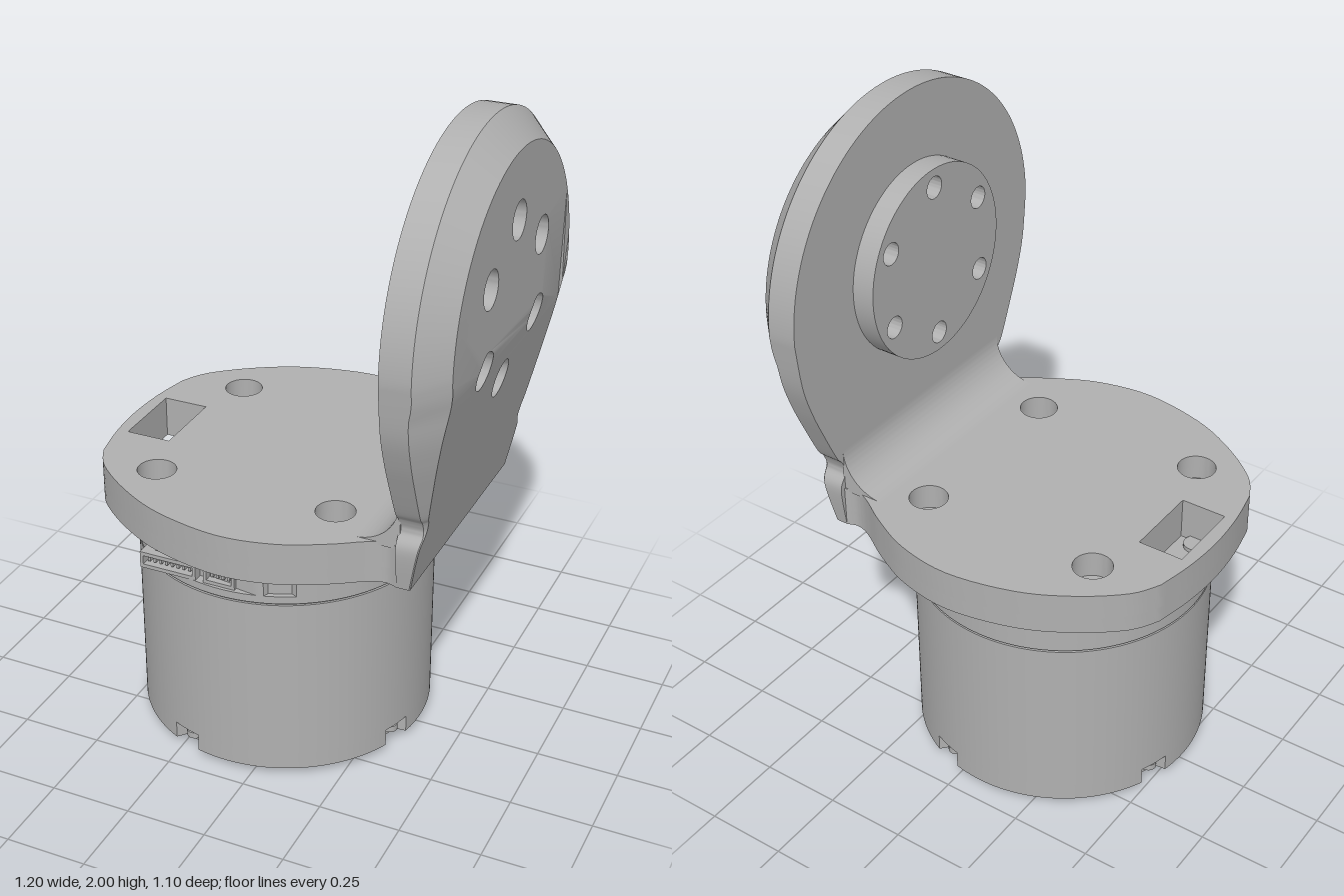
import * as THREE from 'three';
import { toCreasedNormals } from 'three/addons/utils/BufferGeometryUtils.js';

const MX = -0.085; // motor axis x
const rad = THREE.MathUtils.degToRad;
const V = (x, y) => new THREE.Vector2(x, y);

function circleHole(shape, x, y, r) {
  const p = new THREE.Path();
  p.absarc(x, y, r, 0, Math.PI * 2, true);
  shape.holes.push(p);
}

// Horizontal slab between two heights; shape y is -z
function slab(shape, y0, y1) {
  const g = new THREE.ExtrudeGeometry(shape, { depth: y1 - y0, bevelEnabled: false, curveSegments: 20 });
  g.rotateX(-Math.PI / 2).translate(0, y0, 0);
  return toCreasedNormals(g, 0.5);
}

// Round disc on the motor axis with rim notches and an optional flat
function disc(r, { notches = [], half = 5, depth = 0.035, flat = null } = {}) {
  const pts = [];
  for (let i = 0; i < 240; i++) {
    const a = i * 1.5;
    const off = (c) => Math.abs(((a - c + 540) % 360) - 180);
    let q = notches.some((c) => off(c) <= half) ? r - depth : r;
    if (flat && off(flat[0]) < 60) q = Math.min(q, flat[1] / Math.cos(rad(off(flat[0]))));
    pts.push(V(MX + q * Math.cos(rad(a)), -q * Math.sin(rad(a))));
  }
  return new THREE.Shape(pts);
}

// Outer face of the upright leans inward towards its foot
const outerX = (y) => (y > 1.4 ? 0.6 : 0.47 + 0.13 * (y - 0.75) / 0.65);
const bevel = (y) => THREE.MathUtils.clamp(0.08 * (y - 0.9) / 0.45, 0.003, 0.08);

export function createModel() {
  const group = new THREE.Group();
  const metal = new THREE.MeshStandardMaterial({ color: 0xb0b0b0, side: THREE.DoubleSide });
  metal.name = 'grey metal';
  const add = (name, geo) => {
    const m = new THREE.Mesh(geo, metal);
    m.name = name;
    group.add(m);
    return m;
  };
  const box = (name, x, y, z, w, h, d, turn = 0) => {
    const m = add(name, new THREE.BoxGeometry(w, h, d));
    m.position.set(x, y, z);
    m.rotation.y = turn;
  };

  // Base plate: counterbored layer above a layer with small screw holes
  const side = new THREE.SplineCurve([[-0.57, 0.25], [-0.52, 0.33], [-0.4, 0.425], [-0.25, 0.5], [-0.05, 0.54],
    [0.12, 0.515], [0.25, 0.455], [0.33, 0.405], [0.37, 0.385], [0.4, 0.38], [0.43, 0.39]].map((p) => V(...p))).getPoints(50);
  const nose = new THREE.SplineCurve([V(-0.57, -0.25), V(-0.593, -0.13), V(-0.602, 0), V(-0.593, 0.13), V(-0.57, 0.25)]).getPoints(16);
  const outline = [...nose.slice(0, -1), ...side, ...side.slice(1).reverse().map((p) => V(p.x, -p.y))];
  for (const [name, r, y0, y1] of [['basePlateLower', 0.031, 0.75, 0.8], ['basePlateUpper', 0.058, 0.8, 0.88]]) {
    const s = new THREE.Shape(outline);
    for (const x of [-0.37, 0.2]) for (const z of [-0.285, 0.285]) circleHole(s, x, z, r);
    s.holes.push(new THREE.Path([V(-0.56, -0.12), V(-0.56, 0.12), V(-0.42, 0.12), V(-0.42, -0.12)]));
    add(name, slab(s, y0, y1));
  }

  // Upright outline: widening neck, then a round head
  const neck = new THREE.SplineCurve([[0.39, 0.75], [0.405, 0.88], [0.38, 0.93], [0.39, 0.97], [0.412, 1.0],
    [0.458, 1.1], [0.5, 1.2], [0.532, 1.305], [0.55, 1.45]].map((p) => V(...p))).getPoints(48);
  const full = [...neck], inner = neck.map((p) => V(p.x - bevel(p.y), p.y));
  for (let i = 1; i < 72; i++) {
    const a = (i / 72) * Math.PI;
    full.push(V(0.55 * Math.cos(a), 1.45 + 0.55 * Math.sin(a)));
    inner.push(V(0.47 * Math.cos(a), 1.45 + 0.47 * Math.sin(a)));
  }
  for (let i = neck.length - 1; i >= 0; i--) {
    full.push(V(-full[i].x, full[i].y));
    inner.push(V(-inner[i].x, inner[i].y));
  }
  const boltRing = [0, 1, 2, 3, 4, 5].map((i) => V(0.237 * Math.cos(rad(30 + i * 60)), 1.482 + 0.237 * Math.sin(rad(30 + i * 60))));

  // Upright core in two pieces, so the lean of the lower face stays flat
  const split = 1.305;
  for (const [name, keep] of [['uprightHead', (y) => y > split - 1e-4], ['uprightNeck', (y) => y < split + 1e-4]]) {
    const s = new THREE.Shape(inner.filter((p) => keep(p.y)));
    boltRing.filter((p) => keep(p.y)).forEach((p) => circleHole(s, p.x, p.y, 0.056));
    const g = new THREE.ExtrudeGeometry(s, { depth: 1, bevelEnabled: false, curveSegments: 20 });
    g.rotateY(Math.PI / 2);
    const pos = g.attributes.position;
    for (let i = 0; i < pos.count; i++) pos.setX(i, 0.43 + pos.getX(i) * (outerX(pos.getY(i)) - 0.43));
    add(name, toCreasedNormals(g, 0.5));
  }

  // Chamfered rim around the upright
  const verts = [], index = [], n = full.length;
  full.forEach((f, i) => {
    const q = inner[i];
    verts.push(0.43, q.y, -q.x, 0.43, f.y, -f.x, outerX(f.y) - bevel(f.y), f.y, -f.x, outerX(q.y), q.y, -q.x);
    if (i < n - 1) for (let k = 0; k < 3; k++) {
      const a = i * 4 + k, b = a + 4;
      index.push(a, b, a + 1, b, b + 1, a + 1);
    }
  });
  const rim = new THREE.BufferGeometry();
  rim.setAttribute('position', new THREE.Float32BufferAttribute(verts, 3));
  rim.setIndex(index);
  add('uprightRim', toCreasedNormals(rim, 0.5));

  // Round mounting boss on the inner face
  const bossShape = new THREE.Shape();
  bossShape.absarc(0, 1.482, 0.295, 0, Math.PI * 2, false);
  boltRing.forEach((p) => circleHole(bossShape, p.x, p.y, 0.034));
  const boss = new THREE.ExtrudeGeometry(bossShape, { depth: 0.07, bevelEnabled: false, curveSegments: 40 });
  boss.rotateY(Math.PI / 2).translate(0.36, 0, 0);
  add('mountingBoss', toCreasedNormals(boss, 0.5));

  // Concave fillet between base plate and upright
  const fil = new THREE.Shape();
  fil.moveTo(0.435, 0.87);
  fil.lineTo(0.435, 1.01);
  fil.lineTo(0.43, 1.01);
  fil.absarc(0.3, 1.01, 0.13, 0, -Math.PI / 2, true);
  fil.lineTo(0.3, 0.87);
  const filG = new THREE.ExtrudeGeometry(fil, { depth: 0.77, bevelEnabled: false, curveSegments: 16 });
  filG.translate(0, 0, -0.385);
  add('cornerFillet', toCreasedNormals(filG, 0.5));

  // Motor body, with screw notches and holes at its lower edge
  const feet = [17.5, 107.5, 197.5, 287.5];
  const foot = disc(0.45, { notches: feet });
  for (let i = 0; i < 8; i++) circleHole(foot, MX + 0.385 * Math.cos(rad(40 + i * 45)), -0.385 * Math.sin(rad(40 + i * 45)), 0.018);
  add('motorFoot', slab(foot, 0.03, 0.085));
  add('motorBody', slab(disc(0.45), 0.085, 0.61));
  add('motorSeam', slab(disc(0.443), 0.61, 0.616));
  add('motorCoverSill', slab(disc(0.45), 0.616, 0.64));
  const flat = [98, 0.418];
  add('motorCover', slab(disc(0.45, { flat, notches: [67, 320], depth: 0.015 }), 0.64, 0.688));
  add('coverSeam', slab(disc(0.443, { flat }), 0.688, 0.694));
  add('motorCap', slab(disc(0.448, { flat, notches: [50, 140, 230, 320, 346], half: 4, depth: 0.025 }), 0.694, 0.75));
  for (const a of feet) {
    const screw = add('footScrew', new THREE.CylinderGeometry(0.025, 0.025, 0.02, 20));
    screw.position.set(MX + 0.418 * Math.cos(rad(a)), 0.062, 0.418 * Math.sin(rad(a)));
  }
  for (const a of [50, 140, 230, 346]) {
    box('capLug', MX + 0.425 * Math.cos(rad(a)), 0.727, 0.425 * Math.sin(rad(a)), 0.03, 0.025, 0.045, -rad(a));
  }

  // Output flange under the motor
  const flange = disc(0.29);
  circleHole(flange, MX, 0, 0.06);
  for (let i = 0; i < 3; i++) {
    for (const [a, d, r] of [[20, 0.15, 0.045], [80, 0.14, 0.03], [50, 0.16, 0.02]]) {
      circleHole(flange, MX + d * Math.cos(rad(a + i * 120)), d * Math.sin(rad(a + i * 120)), r);
    }
  }
  for (let i = 0; i < 9; i++) circleHole(flange, MX + 0.245 * Math.cos(rad(i * 40)), 0.245 * Math.sin(rad(i * 40)), 0.02);
  add('outputFlange', slab(flange, 0.004, 0.03));

  // Cable sockets in the front recess
  for (const [x, w, pins] of [[-0.26, 0.18, 8], [-0.095, 0.1, 4]]) {
    box('socketTop', x, 0.685, 0.415, w, 0.012, 0.05);
    box('socketBottom', x, 0.645, 0.415, w, 0.012, 0.05);
    for (const s of [-1, 1]) box('socketEnd', x + s * (w / 2 - 0.005), 0.665, 0.415, 0.01, 0.05, 0.05);
    for (let i = 0; i < pins; i++) box('socketPin', x + ((i + 0.5) / pins - 0.5) * (w - 0.03), 0.665, 0.42, 0.008, 0.012, 0.02);
    box('socketLatch', x, 0.712, 0.41, w * 0.5, 0.025, 0.035);
  }

  // Screw head seen through the cable slot
  const head = add('slotScrew', new THREE.CylinderGeometry(0.035, 0.035, 0.02, 24));
  head.position.set(-0.48, 0.752, 0.1);

  return group;
}
